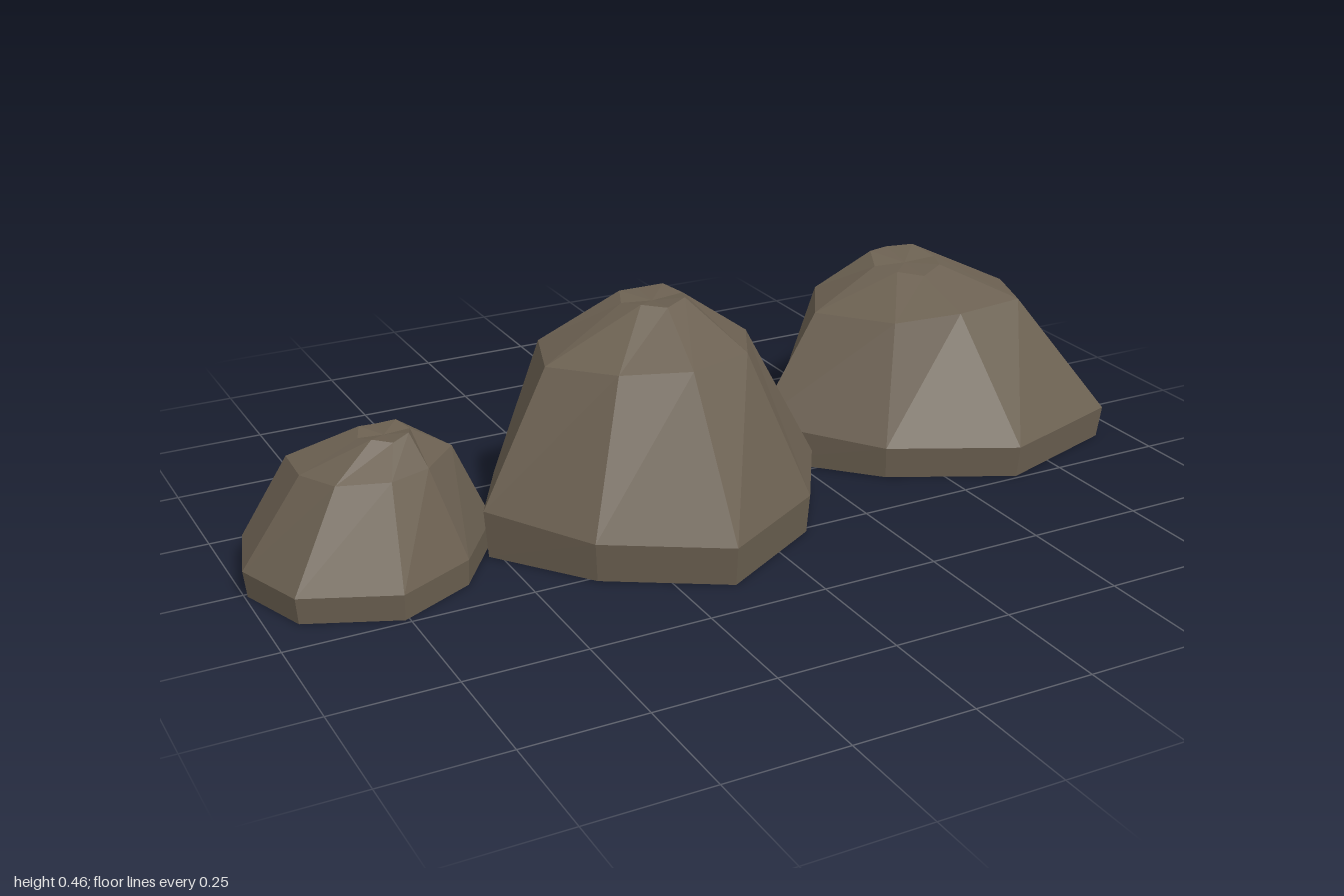
import * as THREE from 'three';

const stone = new THREE.MeshStandardMaterial({ color: 0x6a5f50 });
stone.name = 'stone';

// outline: eight [x, z] corners of the widest ring, from the front round through +x
// shoulderPull: how far each shoulder corner lies from the apex towards the outline
const ROCKS = [
  {
    name: 'leftRock', apex: [-0.7, 0.275, 0], widestY: 0.055, shoulderY: 0.228,
    outline: [[-0.76, 0.245], [-0.6, 0.165], [-0.49, 0.01], [-0.57, -0.135], [-0.76, -0.165], [-0.957, -0.145], [-1, 0.01], [-0.945, 0.165]],
    shoulderPull: [0.49, 0.55, 0.64, 0.68, 0.67, 0.66, 0.58, 0.53],
    crownRadius: 0.053, crownY: 0.278, crownTilt: 0, leftRise: 0, baseBack: -0.15,
  },
  {
    name: 'middleRock', apex: [-0.115, 0.45, -0.01], widestY: 0.082, shoulderY: 0.37,
    outline: [[-0.145, 0.413], [0.1, 0.27], [0.22, 0.075], [0.15, -0.16], [-0.145, -0.187], [-0.42, -0.145], [-0.53, 0.07], [-0.38, 0.27]],
    shoulderPull: [0.5, 0.6, 0.57, 0.7, 0.82, 0.7, 0.63, 0.58],
    crownRadius: 0.07, crownY: 0.456, crownTilt: 0, leftRise: 0.02, baseBack: -0.17,
  },
  {
    name: 'rightRock', apex: [0.6, 0.376, -0.165], widestY: 0.07, shoulderY: 0.312,
    outline: [[0.64, 0.25], [0.94, 0.15], [1, -0.09], [0.95, -0.345], [0.63, -0.413], [0.365, -0.31], [0.18, -0.095], [0.38, 0.12]],
    shoulderPull: [0.48, 0.56, 0.59, 0.54, 0.82, 0.73, 0.62, 0.65],
    crownRadius: 0.08, crownY: 0.379, crownTilt: 0.012, leftRise: 0.02, baseBack: -0.355,
  },
];

// Four rings per rock: base, widest, shoulder and crown
function rockRings(rock) {
  const [ax, , az] = rock.apex;
  const pull = ([x, z], t, y) => [ax + (x - ax) * t, y, az + (z - az) * t];
  const base = rock.outline.map((p) => {
    const [x, y, z] = pull(p, 0.98, 0);
    return [x, y, Math.max(z, rock.baseBack)]; // undercut at the back
  });
  const widest = rock.outline.map((p, i) => pull(p, 1, rock.widestY + (i === 6 ? rock.leftRise : 0)));
  const shoulder = rock.outline.map((p, i) => pull(p, rock.shoulderPull[i], rock.shoulderY));
  const crown = rock.outline.map((_, i) => {
    const a = (i * Math.PI) / 4;
    const y = rock.crownY + (i % 2) * 0.008 - rock.crownTilt * Math.cos(a);
    return [ax + rock.crownRadius * Math.sin(a), y, az + rock.crownRadius * Math.cos(a)];
  });
  return [base, widest, shoulder, crown];
}

// Joins the rings with facets and closes the crown and the flat base
function rockGeometry(rock) {
  const rings = rockRings(rock);
  const [base, , , crown] = rings;
  const [ax, , az] = rock.apex;
  const positions = [];
  const tri = (a, b, c) => positions.push(...a, ...b, ...c);
  for (let i = 0; i < base.length; i++) {
    const j = (i + 1) % base.length;
    for (let k = 0; k < rings.length - 1; k++) {
      const lower = rings[k], upper = rings[k + 1];
      tri(lower[i], lower[j], upper[j]);
      tri(lower[i], upper[j], upper[i]);
    }
    tri(crown[i], crown[j], rock.apex);
    tri(base[j], base[i], [ax, 0, az]);
  }
  const geometry = new THREE.BufferGeometry();
  geometry.setAttribute('position', new THREE.Float32BufferAttribute(positions, 3));
  geometry.computeVertexNormals(); // unshared corners give flat facets
  return geometry;
}

export function createModel() {
  const group = new THREE.Group();
  group.name = 'rocks';
  for (const rock of ROCKS) {
    const mesh = new THREE.Mesh(rockGeometry(rock), stone);
    mesh.name = rock.name;
    group.add(mesh);
  }
  return group;
}
